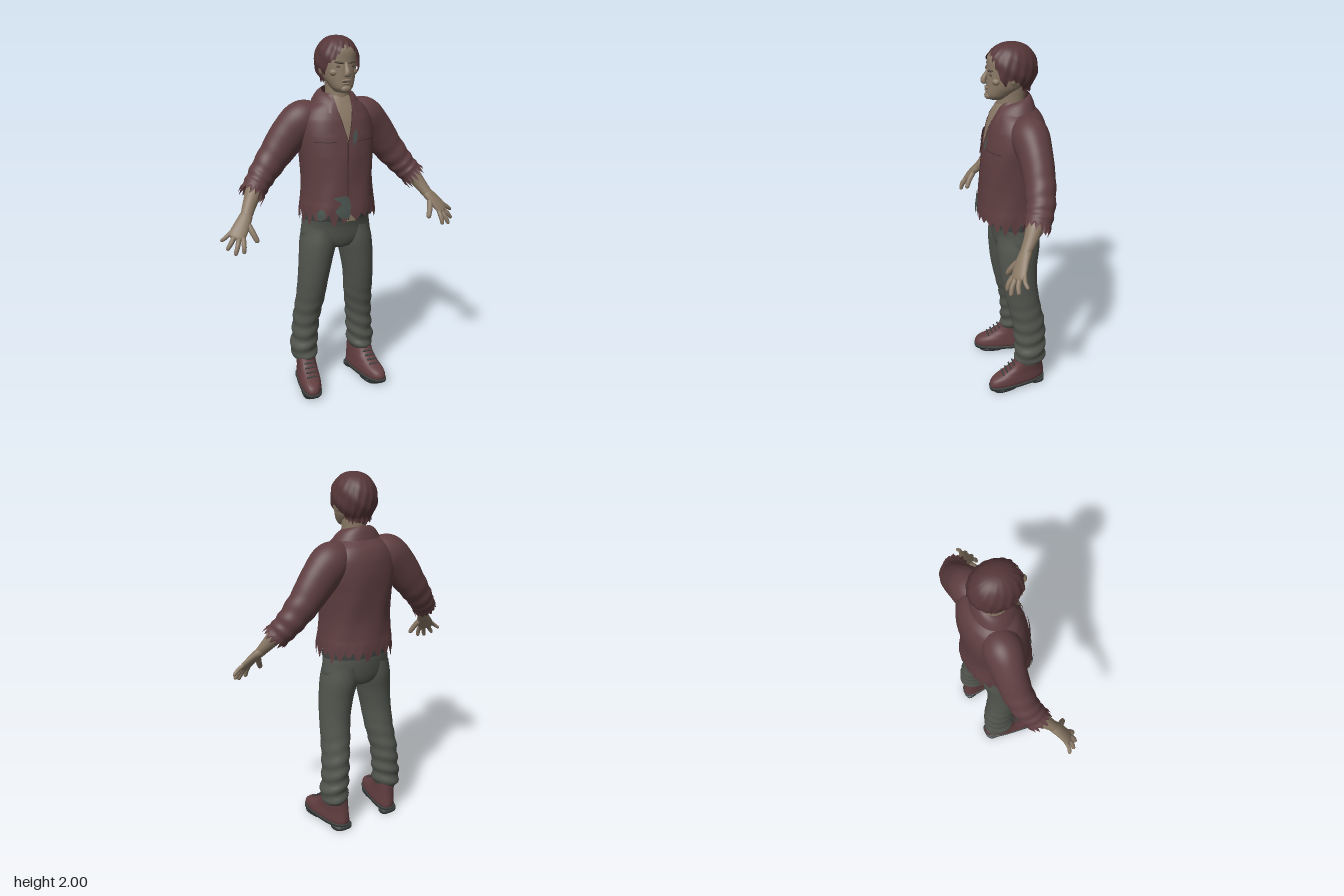
import * as THREE from 'three';
import { mergeVertices } from 'three/addons/utils/BufferGeometryUtils.js';

const mat = (name, color, side = THREE.FrontSide) => Object.assign(new THREE.MeshStandardMaterial({ color, side }), { name });
const TAU = Math.PI * 2;
const { lerp, clamp, smoothstep } = THREE.MathUtils;
const hash = i => { const s = Math.sin(i * 127.1 + 11.7) * 43758.5; return s - Math.floor(s); };

// Irregular torn teeth around an edge, 0..1
const jag = (u, teeth, seed = 0) => {
  const s = (u % 1) * teeth, i = Math.floor(s);
  return (1 - Math.abs(2 * (s - i) - 1)) * (0.3 + 0.7 * hash(i + seed));
};

// Smooth interpolation through the rows of a small table
function sample(rows, t) {
  const last = rows.length - 1, i = Math.min(Math.floor(t), last - 1), f = t - i;
  return rows[0].map((_, k) => {
    const [a, b, c, d] = [i - 1, i, i + 1, i + 2].map(j => rows[clamp(j, 0, last)][k]);
    return b + 0.5 * f * (c - a + f * (2 * a - 5 * b + 4 * c - d + f * (3 * (b - c) + d - a)));
  });
}

// Surface from a point rule over u, v
function surface(nu, nv, rule) {
  const pos = [], index = [];
  for (let j = 0; j <= nv; j++) for (let i = 0; i <= nu; i++) pos.push(...rule(i / nu, j / nv).toArray());
  for (let j = 0; j < nv; j++) for (let i = 0; i < nu; i++) {
    const a = j * (nu + 1) + i, c = a + nu + 1;
    index.push(a, c, a + 1, a + 1, c, c + 1);
  }
  const g = new THREE.BufferGeometry();
  g.setAttribute('position', new THREE.Float32BufferAttribute(pos, 3));
  g.setIndex(index);
  const merged = mergeVertices(g, 1e-5);
  merged.computeVertexNormals();
  return merged;
}

// Stack of level oval rings, rows of [y, x, zFront, zBack, halfWidth]
function column(rows, nu, nv, edit, power = 2) {
  const bend = c => Math.sign(c) * Math.abs(c) ** (2 / power);
  return surface(nu, nv, (u, v) => {
    const t = v * (rows.length - 1), i = Math.min(Math.floor(t), rows.length - 2);
    const [, x, zf, zb, rx] = sample(rows, t), a = u * TAU;
    const p = new THREE.Vector3(x + rx * bend(Math.cos(a)), lerp(rows[i][0], rows[i + 1][0], t - i),
      (zf + zb) / 2 + (zf - zb) / 2 * bend(Math.sin(a)));
    if (edit) edit(p, u, v, a);
    return p;
  });
}

// Tube of changing size, rows of [x, y, z, radiusU, radiusV]
function limb(rows, nu, nv, roll = 0, edit) {
  const last = rows.length - 1;
  const at = t => new THREE.Vector3(...sample(rows, clamp(t, 0, last)).slice(0, 3));
  return surface(nu, nv, (u, v) => {
    const t = v * last, [x, y, z, ru, rv] = sample(rows, t);
    const dir = at(t + 0.05).sub(at(t - 0.05)).normalize();
    const U = new THREE.Vector3(0, 0, 1).cross(dir).normalize().applyAxisAngle(dir, -roll);
    const V = U.clone().cross(dir), a = u * TAU;
    const k = edit ? edit(u, v, a) : { swell: 1, slide: 0 };
    return new THREE.Vector3(x, y, z).addScaledVector(U, ru * k.swell * Math.cos(a))
      .addScaledVector(V, rv * k.swell * Math.sin(a)).addScaledVector(dir, k.slide);
  });
}

const ball = (c, r) => new THREE.SphereGeometry(1, 20, 14).scale(...r).translate(...c);

const TORSO = [
  [1.09, 0, 0.188, -0.188, 0.208], [1.16, 0, 0.18, -0.178, 0.198], [1.26, 0, 0.17, -0.172, 0.193],
  [1.4, 0, 0.158, -0.18, 0.2], [1.5, 0, 0.142, -0.182, 0.206], [1.58, 0, 0.122, -0.172, 0.195],
  [1.635, 0, 0.1, -0.148, 0.16], [1.68, 0, 0.077, -0.1, 0.1], [1.71, 0, 0.06, -0.08, 0.07]];

// Thin plate lying on the shirt front, rows of [y, xMin, xMax]
function frontPlate(rows, lift) {
  return surface(10, 20, (u, v) => {
    const [y, x0, x1] = sample(rows, v * (rows.length - 1)), x = lerp(x1, x0, u);
    let i = 0;
    while (i < TORSO.length - 2 && y > TORSO[i + 1][0]) i++;
    const [, , zf, zb, rx] = sample(TORSO, Math.max(0, i + (y - TORSO[i][0]) / (TORSO[i + 1][0] - TORSO[i][0])));
    const q = Math.max(0, 1 - Math.abs(x / rx) ** 2.3) ** (1 / 2.3);
    return new THREE.Vector3(x, y, (zf + zb) / 2 + (zf - zb) / 2 * q + lift);
  });
}

export function createModel() {
  const model = new THREE.Group();
  model.name = 'figure';
  const shirt = mat('shirt', 0x5e3e40, THREE.DoubleSide), seam = mat('shirtSeam', 0x432c2e, THREE.DoubleSide);
  const skin = mat('skin', 0x8a7966, THREE.DoubleSide), shade = mat('darkSkin', 0x584a42);
  const trousers = mat('trousers', 0x52554e), hair = mat('hair', 0x553638, THREE.DoubleSide);
  const leather = mat('leather', 0x623e40), sole = mat('sole', 0x3c4140);
  const stain = mat('greenStain', 0x4a5550, THREE.DoubleSide);

  const add = (name, geometry, material) => {
    const mesh = new THREE.Mesh(geometry, material);
    mesh.name = name;
    model.add(mesh);
  };
  // Adds the left part and its mirrored right twin
  const pair = (name, geometry, material) => {
    add('left' + name, geometry, material);
    const g = geometry.clone().scale(-1, 1, 1);
    g.index.array.reverse();
    g.computeVertexNormals();
    add('right' + name, g, material);
  };

  // Shirt with torn hem
  add('shirtBody', column(TORSO, 120, 48, (p, u, v, a) => {
    p.y -= 0.095 * jag(u, 24) * Math.max(0, 1 - v * 16);
    const fold = 1 + 0.012 * Math.sin(a * 7 + p.y * 16) * (1 - v);
    p.x *= fold; p.z *= fold;
  }, 2.3), shirt);
  pair('Sleeve', limb([
    [0.09, 1.59, -0.045, 0.07, 0.075], [0.17, 1.565, -0.05, 0.108, 0.098], [0.25, 1.49, -0.058, 0.103, 0.088],
    [0.33, 1.39, -0.058, 0.088, 0.08], [0.4, 1.305, -0.045, 0.076, 0.074], [0.445, 1.25, -0.025, 0.068, 0.07],
    [0.475, 1.215, -0.005, 0.068, 0.068]], 64, 60, 0, (u, v, a) => ({
    swell: 1 + 0.035 * Math.sin(v * 46 + 1.5 * Math.sin(a)) * smoothstep(v, 0.35, 0.7),
    slide: 0.055 * jag(u, 16, 40) * Math.max(0, (v - 0.92) / 0.08) })), shirt);
  add('collar', surface(48, 8, (u, v) => {
    const a = lerp(0.6, TAU - 0.6, u), f = (1 + Math.cos(a)) / 2;
    return new THREE.Vector3(lerp(0.075, 0.13, v) * Math.sin(a),
      lerp(1.74 - 0.045 * f, 1.672 - 0.075 * f ** 3, v) + 0.012 * Math.sin(v * Math.PI),
      -0.015 + lerp(0.075, 0.105 + 0.045 * f, v) * Math.cos(a));
  }), shirt);
  add('openNeckSkin', frontPlate([[1.47, -0.002, 0.004], [1.54, -0.016, 0.022], [1.62, -0.036, 0.04], [1.7, -0.045, 0.045]], 0.007), skin);
  add('buttonEdge', frontPlate([[1.06, -0.017, -0.01], [1.25, -0.014, -0.008], [1.48, -0.003, 0.004]], 0.006), seam);
  for (const s of [-1, 1]) {
    const strip = (y0, y1, a, b) => [[y0, Math.min(s * a, s * b), Math.max(s * a, s * b)], [y1, Math.min(s * a, s * b), Math.max(s * a, s * b)]];
    add('pocket', frontPlate(strip(1.39, 1.5, 0.065, 0.165), 0.006), shirt);
    add('pocketFlap', frontPlate(strip(1.475, 1.52, 0.06, 0.17), 0.009), shirt);
    add('flapSeam', frontPlate(strip(1.471, 1.476, 0.06, 0.17), 0.009), seam);
    add('openingSeam', frontPlate([[1.47, 0, 0.004], [1.54, s * 0.019, s * 0.019 + 0.004], [1.62, s * 0.038, s * 0.038 + 0.004]], 0.008), seam);
  }
  add('hemStain', frontPlate([[1.07, -0.05, -0.01], [1.11, -0.085, -0.002], [1.15, -0.05, 0.0], [1.18, -0.09, -0.01], [1.19, -0.04, -0.02]], 0.008), stain);
  add('sideStain', frontPlate([[1.06, -0.165, -0.15], [1.09, -0.17, -0.13], [1.12, -0.155, -0.145]], 0.009), stain);
  add('chestStain', frontPlate([[1.45, 0.03, 0.035], [1.49, 0.028, 0.055], [1.53, 0.045, 0.055]], 0.008), stain);

  // Trousers
  add('hips', column([[0.845, 0, 0.02, -0.04, 0.01], [0.87, 0, 0.085, -0.11, 0.1], [0.92, 0, 0.106, -0.132, 0.195],
    [1.0, 0, 0.115, -0.142, 0.197], [1.07, 0, 0.13, -0.14, 0.188], [1.12, 0, 0.12, -0.13, 0.17]], 48, 24), trousers);
  add('belt', column([[1.035, 0, 0.133, -0.147, 0.196], [1.075, 0, 0.14, -0.146, 0.194]], 48, 2), sole);
  add('buckle', new THREE.BoxGeometry(0.05, 0.04, 0.015).translate(0.025, 1.055, 0.137), skin);
  pair('TrouserLeg', column([[0.165, 0.178, 0.015, -0.145, 0.064], [0.19, 0.181, 0.026, -0.155, 0.073],
    [0.23, 0.181, 0.022, -0.155, 0.077], [0.3, 0.174, 0.024, -0.156, 0.073], [0.42, 0.165, 0.034, -0.152, 0.074],
    [0.55, 0.149, 0.062, -0.128, 0.08], [0.68, 0.138, 0.088, -0.112, 0.085], [0.8, 0.123, 0.102, -0.115, 0.094],
    [0.9, 0.107, 0.108, -0.13, 0.101], [0.99, 0.1, 0.1, -0.13, 0.09]], 40, 72, (p, u, v, a) => {
    const fold = 0.005 * Math.sin(p.y * 75 + 2 * Math.sin(a + 1)) * (1 - smoothstep(p.y, 0.25, 0.7));
    p.x += fold * Math.cos(a); p.z += fold * Math.sin(a);
  }), trousers);

  // Boots, toes turned slightly out
  const splay = p => { p.x += (p.z + 0.07) * 0.16; };
  pair('Boot', column([[0.025, 0.17, 0.178, -0.152, 0.055], [0.05, 0.17, 0.184, -0.156, 0.062], [0.08, 0.17, 0.165, -0.154, 0.06],
    [0.105, 0.17, 0.11, -0.15, 0.057], [0.14, 0.172, 0.05, -0.145, 0.056], [0.2, 0.175, 0.01, -0.14, 0.056]], 40, 24, splay, 2.5), leather);
  const soleRows = (y0, y1, zf, zb, w) => [[y0, 0.17, 0, -0.02, 0.002], [y0, 0.17, zf, zb, w], [y1, 0.17, zf, zb, w], [y1, 0.17, 0, -0.02, 0.002]];
  const slab = (y0, y1, zf, zb, w) => column(soleRows(y0, y1, zf, zb, w).map((r, i) => i % 3 ? r : [r[0], r[1], (zf + zb) / 2 + 0.002, (zf + zb) / 2 - 0.002, 0.002]), 32, 3, splay, 2.8);
  pair('Sole', slab(0.018, 0.036, 0.187, -0.158, 0.062), sole);
  pair('SoleFront', slab(0.004, 0.022, 0.165, 0.01, 0.058), sole);
  pair('Heel', slab(0, 0.022, -0.07, -0.158, 0.054), sole);
  for (let i = 0; i < 4; i++) {
    const y = 0.108 + i * 0.018, z = 0.104 - i * 0.022;
    pair('Lace' + i, new THREE.CylinderGeometry(0.005, 0.005, 0.06, 8).rotateZ(Math.PI / 2).translate(0.17 + (z + 0.07) * 0.16, y, z), sole);
  }

  // Forearms and hands
  pair('Forearm', limb([[0.42, 1.28, -0.03, 0.04, 0.04], [0.465, 1.225, 0.0, 0.046, 0.044],
    [0.505, 1.165, 0.035, 0.037, 0.034], [0.535, 1.115, 0.07, 0.031, 0.025]], 24, 20, 0.4), skin);
  pair('Palm', limb([[0.52, 1.135, 0.055, 0.002, 0.002], [0.53, 1.122, 0.062, 0.03, 0.024], [0.56, 1.085, 0.09, 0.04, 0.022],
    [0.6, 1.035, 0.118, 0.045, 0.018], [0.612, 1.018, 0.127, 0.035, 0.013], [0.616, 1.012, 0.13, 0.002, 0.002]], 24, 24, 0.63), skin);
  const tips = [[0.585, 0.947, 0.172], [0.63, 0.942, 0.165], [0.664, 0.965, 0.133], [0.684, 1.003, 0.092]];
  const finger = (name, a, b, r) => {
    const at = (f, rr) => [lerp(a[0], b[0], f), lerp(a[1], b[1], f), lerp(a[2], b[2], f) + 0.008 * Math.sin(f * Math.PI), rr, rr];
    pair(name, limb([at(0, r), at(0.5, r * 1.02), at(0.88, r * 0.85), at(0.97, r * 0.5), at(1, 0.0005)], 12, 14), skin);
  };
  tips.forEach((tip, i) => {
    const s = (i - 1.5) * 0.024;
    finger('Finger' + (i + 1), [0.6 + s * 0.68, 1.035 + s * 0.4, 0.118 - s * 0.61], tip, i === 3 ? 0.0105 : 0.0125);
  });
  finger('Thumb', [0.545, 1.095, 0.085], [0.502, 0.988, 0.152], 0.0155);

  // Head and neck
  add('neck', column([[1.6, 0, 0.09, -0.07, 0.07], [1.68, 0, 0.078, -0.065, 0.062], [1.74, 0, 0.075, -0.07, 0.06],
    [1.8, 0, 0.08, -0.075, 0.062]], 32, 12), skin);
  add('head', column([[1.715, 0, 0.085, 0.04, 0.005], [1.722, 0, 0.118, 0.02, 0.036], [1.745, 0, 0.132, -0.01, 0.056],
    [1.785, 0, 0.13, -0.06, 0.075], [1.83, 0, 0.128, -0.09, 0.084], [1.88, 0, 0.124, -0.105, 0.09],
    [1.93, 0, 0.12, -0.105, 0.09], [1.965, 0, 0.095, -0.09, 0.072], [1.985, 0, 0.03, -0.03, 0.01]], 40, 40, null, 2.2), skin);
  add('nose', limb([[0, 1.872, 0.118, 0.008, 0.008], [0, 1.85, 0.13, 0.011, 0.012], [0, 1.822, 0.145, 0.017, 0.014],
    [0, 1.81, 0.14, 0.018, 0.011], [0, 1.804, 0.13, 0.002, 0.002]], 16, 16), skin);
  add('upperLip', ball([0, 1.783, 0.13], [0.026, 0.007, 0.007]), skin);
  add('mouth', ball([0, 1.775, 0.13], [0.026, 0.0035, 0.005]), shade);
  add('lowerLip', ball([0, 1.767, 0.13], [0.022, 0.007, 0.007]), skin);
  add('chin', ball([0, 1.74, 0.122], [0.028, 0.02, 0.018]), skin);
  pair('Brow', ball([0, 0, 0], [0.026, 0.006, 0.009]).rotateZ(0.15).rotateY(0.3).translate(0.035, 1.873, 0.117), shade);
  pair('Eye', ball([0.035, 1.853, 0.114], [0.017, 0.006, 0.007]), shade);
  pair('Cheek', ball([0.05, 1.822, 0.09], [0.026, 0.02, 0.022]), skin);
  pair('Ear', ball([0.09, 1.838, 0.012], [0.014, 0.034, 0.02]), skin);

  // Hair, hairline as [angle from the front, lower edge]
  const line = [[-3.15, 1.755], [-2.1, 1.77], [-1.75, 1.82], [-1.35, 1.85], [-1.1, 1.81], [-0.85, 1.87], [-0.5, 1.9],
    [-0.2, 1.945], [0.2, 1.955], [0.65, 1.93], [0.9, 1.87], [1.1, 1.81], [1.35, 1.85], [1.75, 1.82], [2.1, 1.77], [3.15, 1.755]];
  add('hair', surface(120, 28, (u, v) => {
    const a = (0.5 - u) * TAU, k = Math.min(line.length - 2, line.findIndex((l, i) => i === line.length - 1 || a < line[i + 1][0]));
    const edge = lerp(line[k][1], line[k + 1][1], (a - line[k][0]) / (line[k + 1][0] - line[k][0])) - 0.02 * jag(u, 30, 80);
    const phi = v * Math.acos(clamp((edge - 1.87) / 0.13, -0.97, 0.97));
    const r = (phi > Math.PI / 2 ? Math.max(Math.sin(phi), 0.72) : Math.sin(phi) ** 0.85)
      * (1 + 0.025 * v * Math.sin(a * 17 + phi * 5) + 0.02 * v * Math.sin(a * 6 - phi * 9));
    return new THREE.Vector3(0.114 * r * Math.sin(a), 1.87 + 0.13 * Math.cos(phi), 0.002 + 0.135 * r * Math.cos(a));
  }), hair);
  return model;
}
